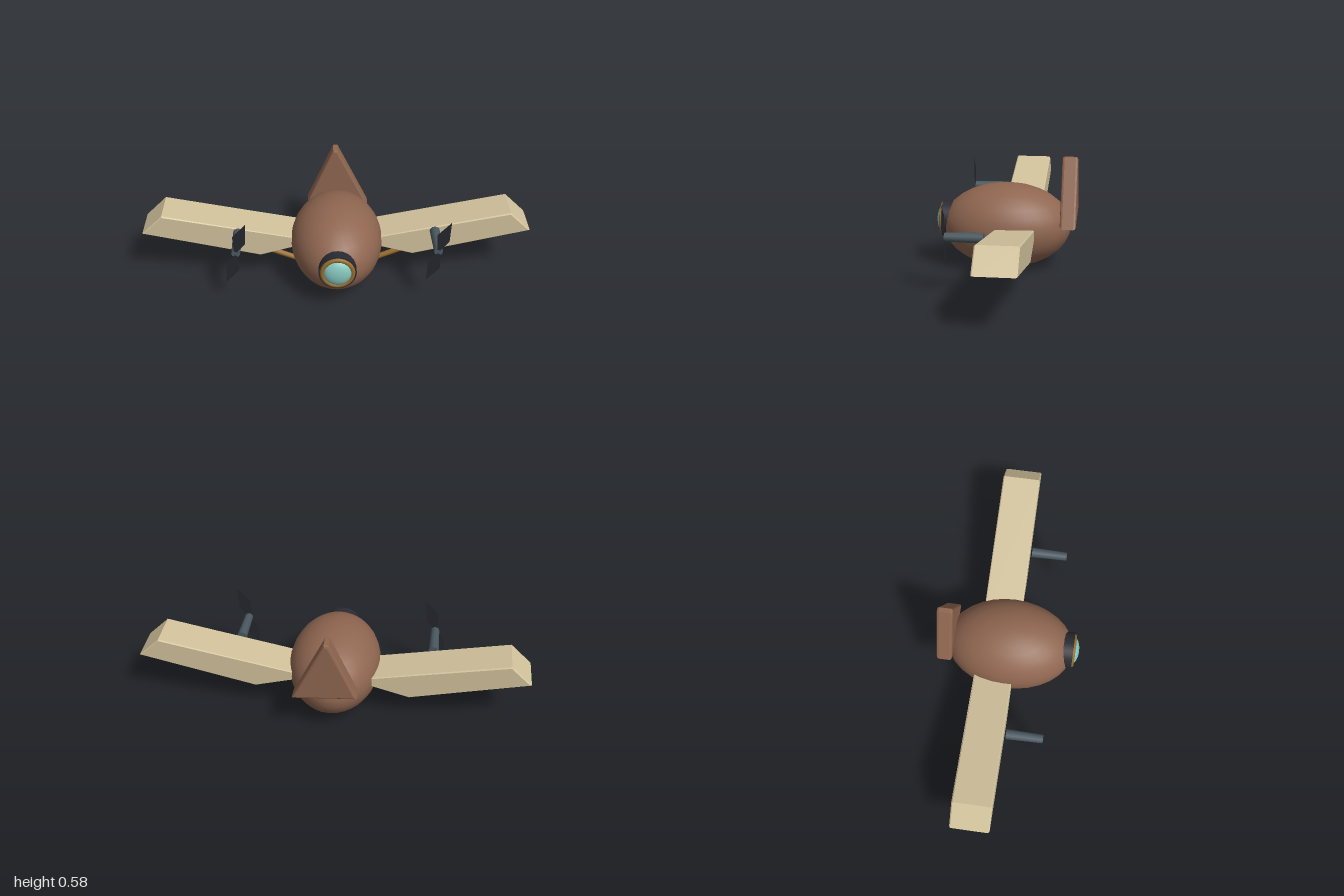
import * as THREE from 'three';

const paint = (name, color, side = THREE.FrontSide) => {
  const m = new THREE.MeshStandardMaterial({ color, side });
  m.name = name;
  return m;
};

export function createModel() {
  const model = new THREE.Group();
  model.name = 'aircraft';
  const brown = paint('brown hull', 0x8f6650);
  const cream = paint('cream canvas', 0xd2c29c);
  const black = paint('dark iron', 0x2a2a33);
  const slate = paint('slate metal', 0x4a5860);
  const brass = paint('brass', 0x966c2c);
  const glass = paint('pale glass', 0x86c6bd);
  const blade = paint('propeller black', 0x25252e, THREE.DoubleSide);

  const add = (name, geometry, material, x = 0, y = 0, z = 0) => {
    const mesh = new THREE.Mesh(geometry, material);
    mesh.name = name;
    mesh.position.set(x, y, z);
    model.add(mesh);
    return mesh;
  };

  // Bevelled slab between two z values, keeping the outline's outer size
  const slab = (points, z0, z1, bevel, segments) => {
    const shape = new THREE.Shape(points.map(([x, y]) => new THREE.Vector2(x, y)));
    const g = new THREE.ExtrudeGeometry(shape, {
      depth: z1 - z0 - 2 * bevel, bevelEnabled: true, bevelThickness: bevel,
      bevelSize: bevel, bevelOffset: -bevel, bevelSegments: segments,
    });
    return g.translate(0, 0, z0 + bevel);
  };

  // Egg-shaped hull
  add('body', new THREE.SphereGeometry(1, 32, 16).scale(0.235, 0.217, 0.331), brown, 0, 0.219, 0);

  // Slightly lopsided tail fin
  add('tailFin', slab([[-0.15, 0.272], [0.172, 0.248], [0.012, 0.58], [-0.012, 0.58]],
    -0.362, -0.282, 0.012, 2), brown);

  // Nose porthole: collar, ring and domed window
  add('noseCollar', new THREE.CylinderGeometry(0.094, 0.094, 0.1, 32).rotateX(Math.PI / 2),
    black, 0, 0.241, 0.28);
  add('noseRing', new THREE.TorusGeometry(0.076, 0.011, 10, 32), brass, 0, 0.241, 0.331);
  add('noseWindow', new THREE.SphereGeometry(1, 24, 16).scale(0.07, 0.07, 0.033),
    glass, 0, 0.241, 0.329);

  // Half propeller outline; the other half is its point reflection
  const half = [[0.006, 0.008], [0.05, 0.06], [0.055, 0.172], [-0.012, 0.1], [-0.008, 0.015]];
  const bladeGeometry = () => new THREE.ShapeGeometry(
    new THREE.Shape(half.map(([x, y]) => new THREE.Vector2(x, y))));

  for (const side of [1, -1]) {
    const label = side > 0 ? 'left' : 'right';

    // Wing
    const outline = [[0.1, 0.228], [0.395, 0.143], [0.995, 0.283], [0.888, 0.387]]
      .map(([x, y]) => [x * side, y]);
    if (side < 0) outline.reverse();
    add(label + 'Wing', slab(outline, -0.159, 0.038, 0.006, 1), cream);

    // Strut under the wing
    const from = new THREE.Vector3(0.15 * side, 0.073, -0.003);
    const to = new THREE.Vector3(0.41 * side, 0.182, -0.003);
    const dir = to.clone().sub(from);
    const strut = add(label + 'Strut', new THREE.CylinderGeometry(0.014, 0.014, dir.length(), 12), brass);
    strut.position.copy(from).add(to).multiplyScalar(0.5);
    strut.quaternion.setFromUnitVectors(new THREE.Vector3(0, 1, 0), dir.normalize());

    // Engine shaft, thinner towards the propeller
    add(label + 'Engine', new THREE.CylinderGeometry(0.022, 0.026, 0.185, 12).rotateX(Math.PI / 2),
      slate, 0.502 * side, 0.295, 0.1425);

    // Two-bladed propeller, turned the same way on both sides
    for (const turn of [0, Math.PI]) {
      const b = add(label + 'PropellerBlade', bladeGeometry(), blade, 0.502 * side, 0.295, 0.237);
      b.rotation.z = turn;
    }
  }
  return model;
}
